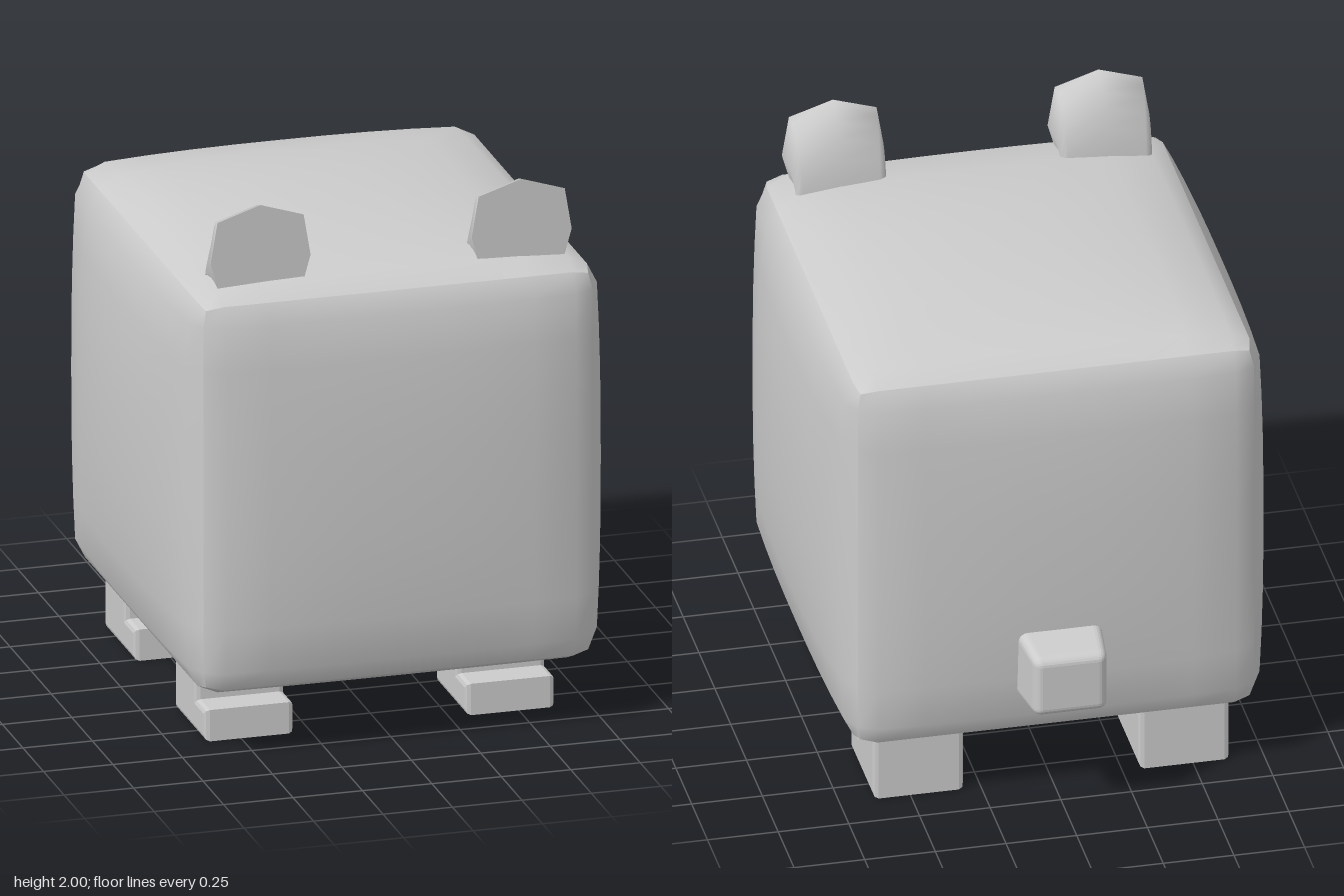
import * as THREE from 'three';
import { RoundedBoxGeometry } from 'three/addons/geometries/RoundedBoxGeometry.js';

const material = new THREE.MeshStandardMaterial({ color: 0xcccccc });

function add(parent, name, geometry, x = 0, y = 0, z = 0) {
  const mesh = new THREE.Mesh(geometry, material);
  mesh.name = name;
  mesh.position.set(x, y, z);
  parent.add(mesh);
  return mesh;
}

// Cube with softened edges whose six faces swell outward in the middle
function puffedBox(half, radius, bulge) {
  const geo = new THREE.BoxGeometry(2, 2, 2, 10, 10, 10);
  const pos = geo.attributes.position, nor = geo.attributes.normal;
  const p = new THREE.Vector3(), n = new THREE.Vector3(), d = new THREE.Vector3();
  const inner = half.clone().subScalar(radius);
  const remap = (t, h) => (Math.abs(t) > 0.9 ? Math.sign(t) * h : (t / 0.8) * (h - radius));
  const swell = (t) => 1 - Math.min(1, Math.abs(t)) ** 2.5;
  for (let i = 0; i < pos.count; i++) {
    p.fromBufferAttribute(pos, i);
    n.fromBufferAttribute(nor, i);
    p.set(remap(p.x, half.x), remap(p.y, half.y), remap(p.z, half.z));
    let weight = 1;
    for (const a of ['x', 'y', 'z']) if (Math.abs(n[a]) < 0.5) weight *= swell(p[a] / half[a]);
    d.copy(p);
    p.clamp(inner.clone().negate(), inner);
    d.sub(p).setLength(radius);
    p.add(d).addScaledVector(n, weight * bulge(n));
    pos.setXYZ(i, p.x, p.y, p.z);
  }
  geo.computeVertexNormals();
  return geo;
}

// L-shaped leg with a toe pointing forward, softened by a bevel
function legGeometry() {
  const b = 0.018, w = 0.32, top = 0.34;
  const s = new THREE.Shape();
  // Shape x runs toward the toe, measured from the heel
  [[b, b], [0.37 - b, b], [0.37 - b, 0.115 - b], [0.255 - b, 0.115 - b], [0.255 - b, top], [b, top]]
    .forEach(([x, y], i) => (i ? s.lineTo(x, y) : s.moveTo(x, y)));
  const geo = new THREE.ExtrudeGeometry(s, {
    depth: w - 2 * b, bevelThickness: b, bevelSize: b, bevelSegments: 2,
  });
  geo.translate(0, 0, -w / 2 + b);
  geo.rotateY(-Math.PI / 2);
  return geo;
}

// Ear: flat seven-sided front, curving down to a wide base behind
function earGeometry() {
  const outline = [[0.15, 0], [0.155, 0.05], [0.18, 0.14], [0.155, 0.29], [0, 0.34],
    [-0.155, 0.29], [-0.18, 0.14], [-0.155, 0.05], [-0.15, 0]];
  const rings = 6, count = outline.length, verts = [], index = [];
  for (let r = 0; r <= rings; r++) {
    const a = (r / rings) * Math.PI / 2;
    for (const [x, y] of outline) {
      verts.push(x * (1 - 0.12 * Math.sin(a)), y * Math.cos(a), -0.145 * Math.sin(a));
    }
  }
  for (let r = 0; r < rings; r++) {
    for (let i = 0; i < count - 1; i++) {
      const a = r * count + i, b = a + count;
      index.push(a, b, a + 1, a + 1, b, b + 1);
    }
  }
  const geo = new THREE.BufferGeometry();
  geo.setAttribute('position', new THREE.Float32BufferAttribute(verts, 3));
  geo.setIndex(index);
  geo.computeVertexNormals();
  const face = new THREE.ShapeGeometry(new THREE.Shape(outline.map(([x, y]) => new THREE.Vector2(x, y))));
  return { shell: geo, face };
}

// Stubby tail, narrowing toward its tip
function tailGeometry() {
  const geo = new RoundedBoxGeometry(0.32, 0.28, 0.28, 3, 0.035);
  const pos = geo.attributes.position;
  for (let i = 0; i < pos.count; i++) {
    const k = 1 - 0.2 * (0.14 - pos.getZ(i)) / 0.28;
    pos.setXY(i, pos.getX(i) * k, pos.getY(i) * k);
  }
  geo.computeVertexNormals();
  return geo;
}

export function createModel() {
  const model = new THREE.Group();
  model.name = 'cubeAnimal';

  const bulge = (n) => (n.y > 0.5 ? 0.08 : n.y < -0.5 ? 0.015 : n.z ? 0.05 : 0.07);
  add(model, 'body', puffedBox(new THREE.Vector3(0.73, 0.7325, 0.785), 0.1, bulge), 0, 0.9675, 0.085);
  add(model, 'tail', tailGeometry(), 0, 0.55, -0.777);

  const leg = legGeometry();
  const ear = earGeometry();
  for (const [side, s] of [['left', 1], ['right', -1]]) {
    add(model, side + 'FrontLeg', leg, s * 0.47, 0, 0.25);
    add(model, side + 'BackLeg', leg, s * 0.47, 0, -0.605);
    const group = new THREE.Group();
    group.name = side + 'Ear';
    group.position.set(s * 0.47, 1.66, 0.755);
    add(group, 'earBack', ear.shell);
    add(group, 'earFront', ear.face);
    model.add(group);
  }
  return model;
}
